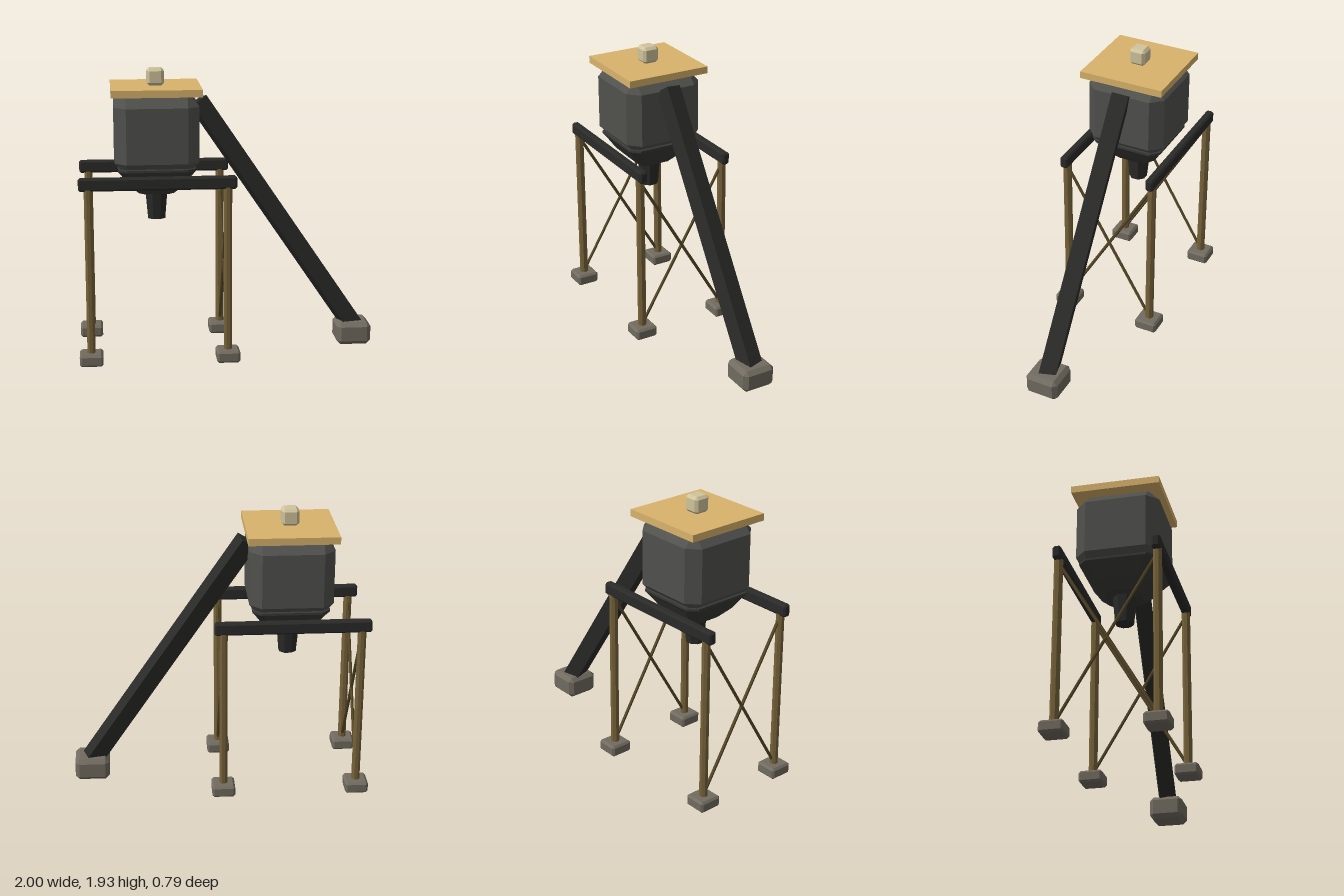
import * as THREE from 'three';

const mat = (color) => new THREE.MeshStandardMaterial({ color, flatShading: true });
const MATS = {
  tank: mat(0x50514d), steel: mat(0x2a2a29), wood: mat(0x77633a), brace: mat(0x574928),
  stone: mat(0x716b60), lid: mat(0xd9b36c), cap: mat(0xd0c49c),
};

// Solid lofted through corner-cut rectangles; each section is [y, halfX, halfZ, cornerCut]
function loft(sections) {
  const rings = sections.map(([y, a, b, c]) => [
    [a, b - c], [a - c, b], [c - a, b], [-a, b - c],
    [-a, c - b], [c - a, -b], [a - c, -b], [a, c - b],
  ].map(([x, z]) => [x, y, z]));
  const pos = [];
  const tri = (p, q, r) => pos.push(...p, ...q, ...r);
  for (let i = 0; i < rings.length - 1; i++) {
    for (let j = 0; j < 8; j++) {
      const k = (j + 1) % 8, lo = rings[i], hi = rings[i + 1];
      tri(lo[j], hi[j], hi[k]);
      tri(lo[j], hi[k], lo[k]);
    }
  }
  const bottom = rings[0], top = rings[rings.length - 1];
  for (let j = 1; j < 7; j++) {
    tri(bottom[0], bottom[j], bottom[j + 1]);
    tri(top[0], top[j + 1], top[j]);
  }
  const geo = new THREE.BufferGeometry();
  geo.setAttribute('position', new THREE.Float32BufferAttribute(pos, 3));
  geo.computeVertexNormals();
  return geo;
}

// Box with every edge chamfered, centred on the origin
function bevelBox(w, h, d, c) {
  const x = w / 2, y = h / 2, z = d / 2;
  return loft([[-y, x - c, z - c, 0], [c - y, x, z, c], [y - c, x, z, c], [y, x - c, z - c, 0]]);
}

export function createModel() {
  const group = new THREE.Group();
  const add = (name, geo, material, x = 0, y = 0, z = 0) => {
    const mesh = new THREE.Mesh(geo, material);
    mesh.name = name;
    mesh.position.set(x, y, z);
    group.add(mesh);
    return mesh;
  };

  const legX = [-0.922, -0.014], legZ = 0.317, tankX = -0.468;

  // Stand: feet, legs and cross braces
  for (const x of legX) {
    for (const s of [1, -1]) {
      add('foot', bevelBox(0.155, 0.08, 0.158, 0.014), MATS.stone, x, 0.04, s * legZ);
      const leg = new THREE.CylinderGeometry(0.029, 0.029, 1.14, 8);
      leg.rotateY(Math.PI / 8);
      add('leg', leg, MATS.wood, x, 0.63, s * legZ);

      const rise = 1.08, run = s * legZ * 2;
      const brace = add('crossBrace',
        new THREE.CylinderGeometry(0.011, 0.011, Math.hypot(rise, run), 6), MATS.brace, x, 0.62, 0);
      brace.rotation.x = Math.atan2(run, rise);
    }
  }

  // Top rails
  for (const s of [1, -1]) {
    add('topRail', bevelBox(1.03, 0.085, 0.055, 0.012), MATS.steel, -0.47, 1.213, s * legZ);
  }

  // Tank, funnel and outlet
  add('tank', bevelBox(0.556, 0.52, 0.556, 0.077), MATS.tank, tankX, 1.51, 0);
  add('funnel', loft([
    [1.1, 0.118, 0.118, 0.035], [1.17, 0.188, 0.188, 0.05], [1.25, 0.24, 0.24, 0.055],
    [1.27, 0.256, 0.256, 0.055], [1.285, 0.256, 0.256, 0.055], [1.295, 0.225, 0.225, 0.05],
  ]), mat(0x383936), tankX, 0, 0);
  const outlet = new THREE.CylinderGeometry(0.08, 0.062, 0.2, 8);
  outlet.rotateY(Math.PI / 8);
  add('outlet', outlet, MATS.steel, tankX, 1.015, 0);

  // Lid and its cap
  add('lid', new THREE.BoxGeometry(0.592, 0.048, 0.59), MATS.lid, tankX, 1.79, 0);
  add('cap', bevelBox(0.114, 0.114, 0.114, 0.018), MATS.cap, tankX, 1.87, 0);

  // Chute: square duct, slightly rolled about its own axis
  const start = new THREE.Vector3(-0.188, 1.706, 0), end = new THREE.Vector3(0.91, 0.085, 0);
  const along = end.clone().sub(start);
  const duct = new THREE.BoxGeometry(0.114, along.length(), 0.114);
  duct.rotateY(THREE.MathUtils.degToRad(15));
  const chute = add('chute', duct, MATS.steel);
  chute.position.copy(start).add(end).multiplyScalar(0.5);
  chute.rotation.z = Math.atan2(along.x, -along.y);
  add('chuteFoot', bevelBox(0.235, 0.155, 0.232, 0.028), MATS.stone, 0.881, 0.0825, 0);

  return group;
}
